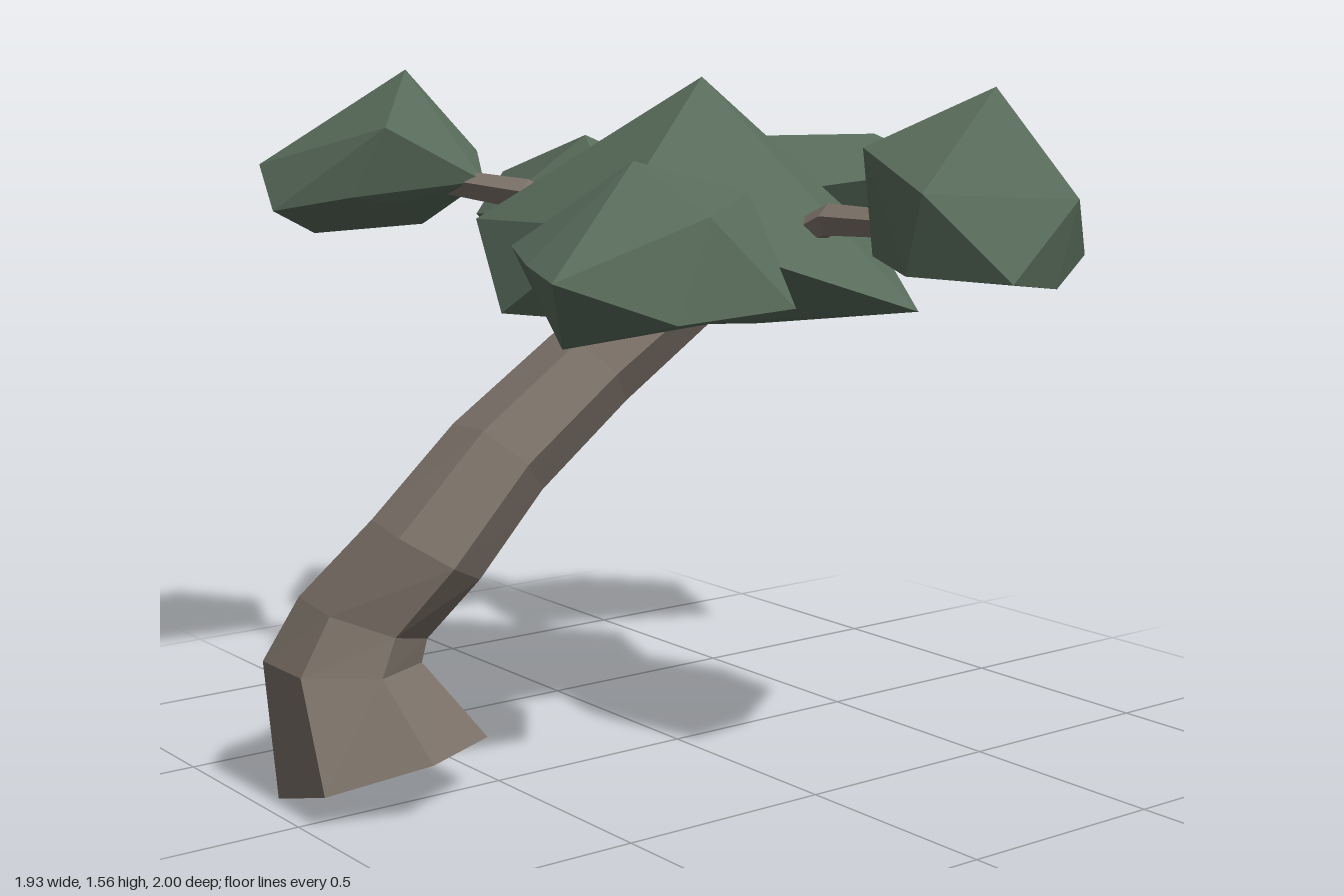
import * as THREE from 'three';
import { ConvexGeometry } from 'three/addons/geometries/ConvexGeometry.js';

const V = (p) => new THREE.Vector3(...p);

// Faceted tube through rings of [centre, radius, direction], with flat end caps
function loft(rings, sides, ref) {
  const loops = rings.map(([c, r, d]) => {
    const t = V(d).normalize();
    const side = V(ref).addScaledVector(t, -V(ref).dot(t)).normalize();
    const up = t.clone().cross(side);
    return Array.from({ length: sides }, (_, j) => {
      const a = (j / sides) * Math.PI * 2;
      return V(c).addScaledVector(side, r * Math.cos(a)).addScaledVector(up, r * Math.sin(a));
    });
  });
  const pts = [];
  const last = loops.length - 1;
  for (let j = 0; j < sides; j++) {
    const k = (j + 1) % sides;
    for (let i = 0; i < last; i++) {
      const a = loops[i][j], b = loops[i][k], c = loops[i + 1][k], d = loops[i + 1][j];
      pts.push(a, b, c, a, c, d);
    }
    pts.push(V(rings[0][0]), loops[0][k], loops[0][j]);
    pts.push(V(rings[last][0]), loops[last][j], loops[last][k]);
  }
  const geo = new THREE.BufferGeometry().setFromPoints(pts);
  geo.computeVertexNormals();
  return geo;
}

export function createModel() {
  const tree = new THREE.Group();
  tree.name = 'bentTree';
  const bark = new THREE.MeshStandardMaterial({ color: 0x7a7067 });
  bark.name = 'bark';
  const leaf = new THREE.MeshStandardMaterial({ color: 0x596c5b });
  leaf.name = 'leaf green';

  const add = (name, geo, mat) => {
    const mesh = new THREE.Mesh(geo, mat);
    mesh.name = name;
    tree.add(mesh);
  };

  // Leaning six-sided trunk, flared at the foot
  add('trunk', loft([
    [[-0.757, 0.065, -0.062], 0.235, [-0.13, 0.95, -0.28]],
    [[-0.80, 0.29, -0.155], 0.172, [0.05, 1, 0]],
    [[-0.755, 0.385, -0.14], 0.147, [0.34, 0.94, 0.1]],
    [[-0.65, 0.54, -0.045], 0.134, [0.5, 0.85, 0.15]],
    [[-0.465, 0.725, -0.04], 0.122, [0.7, 0.72, 0]],
    [[-0.22, 0.90, -0.04], 0.112, [0.75, 0.66, 0]],
    [[0.02, 1.06, -0.015], 0.1, [0.78, 0.62, 0]],
  ], 6, [0, 0, 1]), bark);

  // Faceted leaf masses, each the hull of its crown, rim and underside points
  const clumps = {
    mainCanopy: [
      [0.07, 1.545, 0], [0.49, 1.175, 0.12], [0.325, 1.035, 0.455], [-0.1, 1.165, 0.475],
      [-0.37, 1.245, 0.25], [-0.425, 1.035, -0.08], [-0.32, 1.22, -0.345], [-0.065, 1.25, -0.41],
      [0.405, 0.935, -0.2], [0.2, 1.02, -0.4], [-0.25, 1.03, 0.25],
    ],
    backClump: [
      [0.195, 1.385, -0.64], [0.18, 1.275, -1], [0.4, 1.05, -0.87], [0.4, 1.25, -0.87],
      [0.53, 1.18, -0.71], [0.57, 1.2, -0.57], [0.55, 1.19, -0.4], [0.04, 1.27, -0.335],
      [-0.09, 1.2, -0.65], [-0.05, 1.19, -0.77], [0, 1.085, -0.65], [0.4, 1.07, -0.5],
    ],
    sideClump: [
      [0.75, 1.39, -0.17], [0.65, 1.32, -0.4], [0.42, 1.385, -0.38], [0.785, 1.32, -0.36],
      [0.965, 1.21, -0.22], [0.95, 1.26, -0.12], [0.715, 1.32, 0.145], [0.4, 1.28, 0],
      [0.335, 1.28, -0.1], [0.82, 1.08, 0.03], [0.42, 1.1, -0.22], [0.6, 1.09, -0.27],
    ],
    frontClump: [
      [0.295, 1.535, 0.71], [0.265, 1.34, 0.43], [0.41, 1.41, 0.555], [0.495, 1.32, 0.7],
      [0.48, 1.18, 0.8], [0.25, 1.32, 0.995], [0.075, 1.16, 0.99], [0.005, 1.33, 0.8],
      [0.01, 1.16, 0.75], [0.06, 1.41, 0.56], [0.25, 1.135, 0.94], [0.42, 1.16, 0.6],
      [0.1, 1.18, 0.55],
    ],
    frontLeaningClump: [
      [-0.445, 1.395, 0.44], [-0.61, 1.22, 0.245], [-0.465, 1.06, 0.2], [-0.25, 1.295, 0.25],
      [-0.115, 1.315, 0.4], [-0.115, 1.125, 0.53], [-0.245, 1.11, 0.71], [-0.41, 1.295, 0.645],
      [-0.5, 1.09, 0.66], [-0.735, 1.18, 0.575], [-0.69, 1.2, 0.42], [-0.64, 1.035, 0.47],
      [-0.25, 1.1, 0.35],
    ],
    backLeaningClump: [
      [-0.32, 1.555, -0.65], [-0.605, 1.33, -0.86], [-0.28, 1.33, -0.915], [-0.13, 1.27, -0.735],
      [-0.16, 1.36, -0.59], [-0.25, 1.3, -0.42], [-0.5, 1.43, -0.44], [-0.555, 1.27, -0.5],
      [-0.65, 1.23, -0.71], [-0.45, 1.155, -0.88], [-0.25, 1.18, -0.7], [-0.45, 1.25, -0.5],
    ],
  };
  for (const [name, pts] of Object.entries(clumps)) {
    add(name, new ConvexGeometry(pts.map(V)), leaf);
  }

  // Thin branches from the trunk tip through the canopy into each outer clump
  const tip = [0.04, 1.03, -0.01];
  const branches = [
    ['backBranch', [0.15, 1.21, -0.29], [0.19, 1.2, -0.5]],
    ['sideBranch', [0.34, 1.26, -0.04], [0.52, 1.23, -0.1]],
    ['frontBranch', [0.14, 1.24, 0.36], [0.19, 1.24, 0.6]],
    ['frontLeaningBranch', [-0.13, 1.265, 0.29], [-0.3, 1.2, 0.4]],
    ['backLeaningBranch', [-0.2, 1.27, -0.31], [-0.32, 1.3, -0.54]],
  ];
  for (const [name, bend, end] of branches) {
    const rise = bend.map((v, i) => v - tip[i]);
    const run = end.map((v, i) => v - bend[i]);
    add(name, loft([[tip, 0.045, rise], [bend, 0.038, run], [end, 0.03, run]], 5, [0, 1, 0.01]), bark);
  }

  return tree;
}
